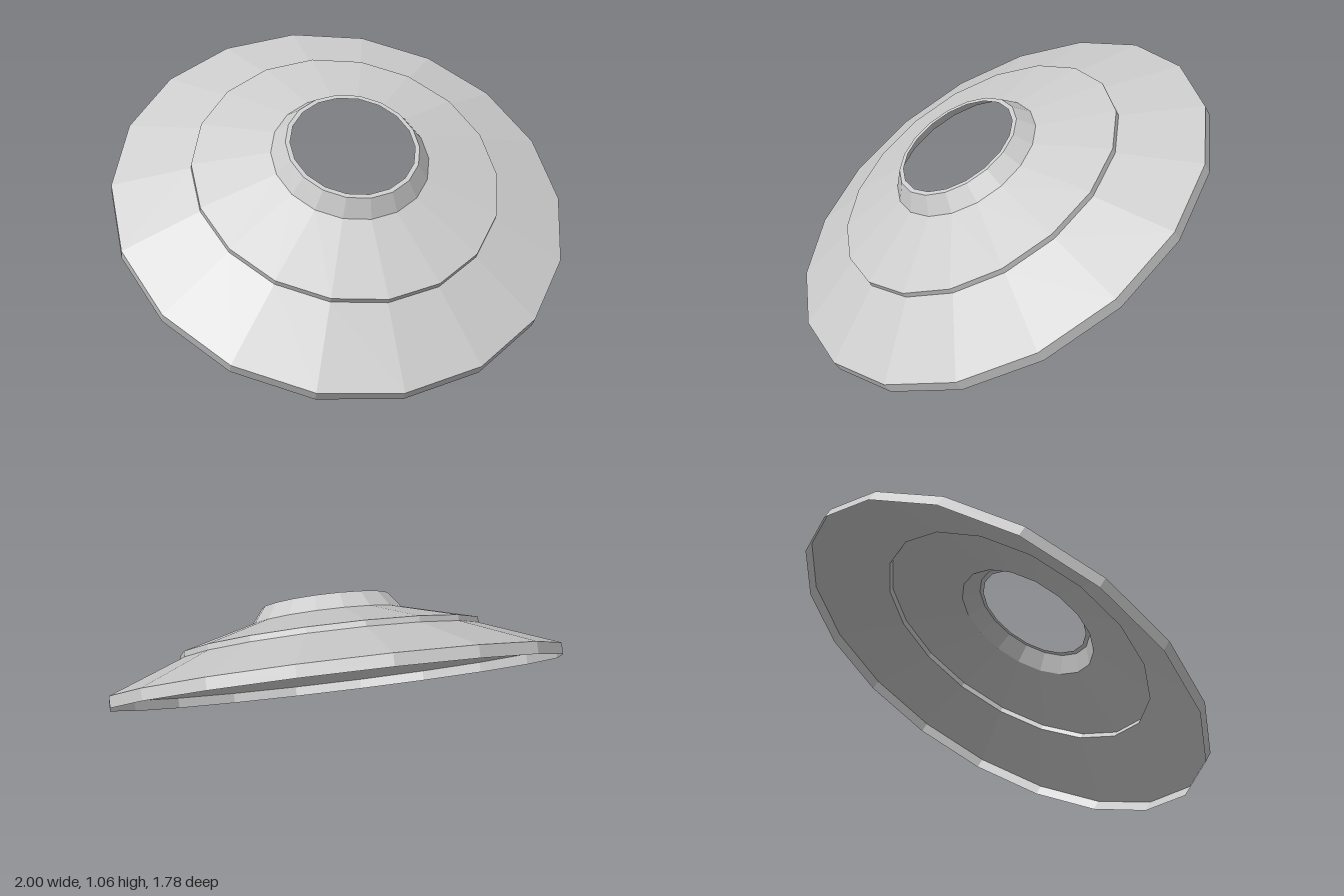
import * as THREE from 'three';

const SIDES = 18;

export function createModel() {
  const model = new THREE.Group();
  model.name = 'tiltedStepDisc';
  const material = new THREE.MeshStandardMaterial({
    color: 0xcccccc, flatShading: true, side: THREE.DoubleSide,
  });

  // Thin faceted ring swept around the disc axis from [radius, height] pairs
  const disc = new THREE.Group();
  disc.name = 'disc';
  const addRing = (name, profile) => {
    const points = profile.map(([r, h]) => new THREE.Vector2(r, h));
    const mesh = new THREE.Mesh(new THREE.LatheGeometry(points, SIDES), material);
    mesh.name = name;
    disc.add(mesh);
  };

  addRing('outerRim', [[1.0154, 0], [1.0154, 0.05]]);
  addRing('lowerCone', [[1.0154, 0.05], [0.677, 0.185]]);
  addRing('stepWall', [[0.677, 0.185], [0.677, 0.21]]);
  addRing('upperCone', [[0.677, 0.21], [0.345, 0.305]]);
  addRing('collar', [[0.345, 0.305], [0.29, 0.377]]);
  addRing('holeLip', [[0.29, 0.377], [0.27, 0.377]]);

  // Lean the whole disc toward the front, lowest rim corner on the ground
  disc.rotation.x = Math.PI / 6;
  disc.position.set(0, 0.508, -0.0125);
  model.add(disc);
  return model;
}
